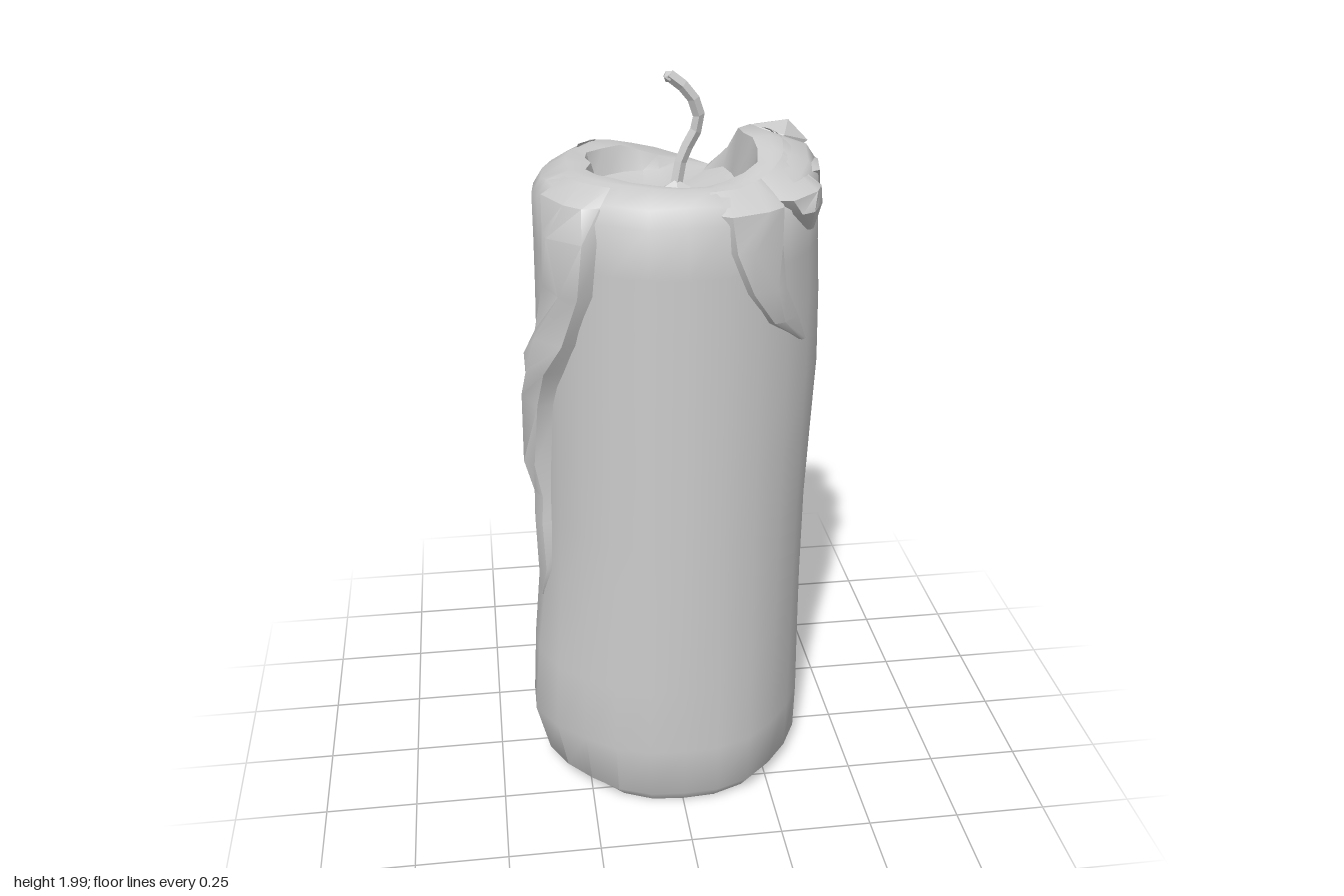
import * as THREE from 'three';
import { toCreasedNormals } from 'three/addons/utils/BufferGeometryUtils.js';

const RAD = Math.PI / 180;
const wax = new THREE.MeshStandardMaterial({ color: 0xcccccc });
const thinWax = new THREE.MeshStandardMaterial({ color: 0xcccccc, side: THREE.DoubleSide });
const faceted = new THREE.MeshStandardMaterial({ color: 0xcccccc, flatShading: true });

// Value from a list spaced evenly around the full circle
function around(list, deg) {
  const t = ((((deg % 360) + 360) % 360) / 360) * list.length;
  const i = Math.floor(t) % list.length;
  return THREE.MathUtils.lerp(list[i], list[(i + 1) % list.length], t - Math.floor(t));
}

// Angles run from +x towards +z, one entry every 30 degrees
const rimHeight = deg => around([1.83, 1.8, 1.775, 1.78, 1.785, 1.78, 1.78, 1.775, 1.775, 1.74, 1.69, 1.825], deg);
const lipRadius = deg => around([0.21, 0.235, 0.235, 0.24, 0.235, 0.215, 0.2, 0.23, 0.19, 0.2, 0.27, 0.235], deg);
const baseRadius = deg => around([0.376, 0.374, 0.371, 0.367, 0.366, 0.362, 0.36, 0.362, 0.358, 0.354, 0.36, 0.37], deg);

const bump = (v, centre, width) => Math.exp(-(((v - centre) / width) ** 2));

// Outer radius of the candle, with a sagging foot, a swollen side and a lipped back
function wallRadius(deg, y) {
  const a = ((deg % 360) + 360) % 360;
  const fromLeft = Math.min(a, 360 - a);
  return baseRadius(a) + 0.045 * bump(a, 165, 30) * bump(y, 0.22, 0.3)
    + 0.026 * bump(fromLeft, 0, 35) * bump(y, 1.3, 0.32)
    + 0.02 * bump(a, 262, 25) * bump(y, 1.72, 0.12)
    - 0.015 * bump(a, 180, 45) * bump(y, 1.6, 0.6)
    + 0.005 * Math.sin(a * 7 * RAD) * bump(y, 0.1, 0.3);
}

const polar = (deg, r, y) => [r * Math.cos(deg * RAD), y, r * Math.sin(deg * RAD)];

// Joins rows of points into a surface
function loft(rows, closed) {
  const n = rows[0].length, index = [];
  for (let i = 0; i < rows.length - 1; i++) {
    for (let j = 0; j < (closed ? n : n - 1); j++) {
      const k = (j + 1) % n, a = i * n + j, b = i * n + k, c = a + n, d = b + n;
      index.push(a, c, b, b, c, d);
    }
  }
  const geometry = new THREE.BufferGeometry();
  geometry.setAttribute('position', new THREE.Float32BufferAttribute(rows.flat(2), 3));
  geometry.setIndex(index);
  return toCreasedNormals(geometry, 0.75);
}

// Body: foot, wall, rim sloping outward from its lip, and hollow pool in one skin
function makeBody() {
  const segments = 24;
  const ring = f => Array.from({ length: segments }, (_, j) => f((j * 360) / segments));
  const foot = d => 0.02 + 0.012 * Math.cos((d - 320) * RAD);
  const footTaper = d => 0.92 - 0.12 * bump(d, 170, 50);
  const jag = d => 0.008 * Math.sin(d * 5 * RAD) + 0.006 * Math.cos(d * 9 * RAD);
  const rows = [
    ring(d => polar(d, 0, 0.025)),
    ring(d => polar(d, wallRadius(d, 0) * footTaper(d), foot(d))),
    ring(d => polar(d, wallRadius(d, 0.06) * (0.99 - 0.06 * bump(d, 170, 50)), 0.045 + foot(d) * 0.5)),
  ];
  for (const y of [0.2, 0.4, 0.6, 0.85, 1.05, 1.25, 1.45, 1.58]) {
    rows.push(ring(d => polar(d, wallRadius(d, y), y)));
  }
  rows.push(ring(d => polar(d, wallRadius(d, 1.7), rimHeight(d) - 0.075 + jag(d))));
  rows.push(ring(d => polar(d, wallRadius(d, 1.75) - 0.025, rimHeight(d) - 0.035 + jag(d))));
  rows.push(ring(d => polar(d, (lipRadius(d) + 0.31) / 2, rimHeight(d) - 0.004)));
  rows.push(ring(d => polar(d, lipRadius(d) + jag(d), rimHeight(d) - 0.008)));
  rows.push(ring(d => polar(d, lipRadius(d) - 0.02 + jag(d), Math.min(1.7, rimHeight(d) - 0.012))));
  rows.push(ring(d => polar(d, 0.1, 1.68)));
  rows.push(ring(d => polar(d, 0, 1.685)));
  return loft(rows, true);
}

// Wax run following the wall; each stop is [angle, height, half width, thickness]
function makeDrip(stops) {
  const rows = stops.map(([deg, y, w, t], i) => {
    const sway = i % 2 ? 0.3 : -0.2;
    return [[-1, -0.02], [-0.7, t * 0.7], [sway, t], [0.75, t * 0.6], [1, -0.02]].map(([s, out]) => {
      const d = deg + (s * w) / 0.36 / RAD;
      return polar(d, wallRadius(d, y) + out, y);
    });
  });
  const [deg, , w] = stops[0];
  // Top end folds inward into the rim
  rows.unshift([-1, -0.7, 0, 0.75, 1].map(s => {
    const d = deg + (s * w) / 0.36 / RAD;
    return polar(d, 0.29, rimHeight(d) - 0.008);
  }));
  return loft(rows.reverse(), false);
}

const drips = {
  frontLeftDrip: [[62, 1.73, 0.1, 0.012], [62, 1.64, 0.085, 0.024], [57, 1.53, 0.065, 0.022],
    [48, 1.44, 0.055, 0.02], [35, 1.36, 0.01, 0.008]],
  frontRightDrip: [[143, 1.74, 0.11, 0.015], [139, 1.66, 0.095, 0.05], [141, 1.52, 0.09, 0.05], [150, 1.38, 0.09, 0.045],
    [160, 1.29, 0.1, 0.065], [166, 1.18, 0.08, 0.05], [168, 1.0, 0.07, 0.055], [165, 0.9, 0.045, 0.025],
    [166, 0.82, 0.055, 0.03], [164, 0.68, 0.045, 0.018], [168, 0.57, 0.01, 0.003]],
  backLeftDrip: [[-31, 1.75, 0.1, 0.025], [-35, 1.62, 0.09, 0.03], [-38, 1.48, 0.075, 0.02], [-44, 1.34, 0.075, 0.02],
    [-51, 1.2, 0.06, 0.018], [-52, 1.1, 0.06, 0.04], [-55, 0.95, 0.045, 0.015], [-68, 0.74, 0.008, 0.003]],
  backRightDrip: [[230, 1.67, 0.04, 0.005], [228, 1.56, 0.035, 0.02], [222, 1.41, 0.035, 0.028],
    [229, 1.27, 0.035, 0.02], [244, 1.17, 0.008, 0.003]],
  leftRimFlap: [[35, 1.74, 0.1, 0.025], [34, 1.7, 0.07, 0.035], [30, 1.64, 0.015, 0.01]],
  leftRimRun: [[3, 1.76, 0.1, 0.008], [-4, 1.7, 0.07, 0.015], [-14, 1.6, 0.015, 0.005]],
};

export function createModel() {
  const group = new THREE.Group();
  const add = (name, geometry, material) => {
    const mesh = new THREE.Mesh(geometry, material);
    mesh.name = name;
    group.add(mesh);
    return mesh;
  };
  add('candleBody', makeBody(), wax);
  for (const [name, stops] of Object.entries(drips)) add(name, makeDrip(stops), thinWax);

  // Lump of wax sunk into the rim
  const lump = add('rimLump', new THREE.IcosahedronGeometry(1, 0), faceted);
  lump.position.set(0.29, 1.77, -0.15);
  lump.scale.set(0.11, 0.06, 0.08);
  lump.rotation.y = 0.4;

  // Small mound where the wick leaves the pool
  const mound = add('wickMound', new THREE.ConeGeometry(0.1, 0.05, 5), faceted);
  mound.position.set(0.02, 1.7, 0.015);
  mound.scale.z = 0.6;

  // Bent wick with a closed tip
  const wickPoints = [[0.015, 1.68, 0.01], [0.035, 1.78, 0.0], [0.08, 1.87, 0.005], [0.055, 1.945, 0.015], [0.0, 1.99, 0.015]]
    .map(p => new THREE.Vector3(...p));
  const wickCurve = new THREE.CatmullRomCurve3(wickPoints, false, 'catmullrom', 0.2);
  add('wick', new THREE.TubeGeometry(wickCurve, 8, 0.016, 5), faceted);
  const tip = add('wickTip', new THREE.IcosahedronGeometry(0.016, 0), faceted);
  tip.position.set(0.002, 1.984, 0.015);
  return group;
}
